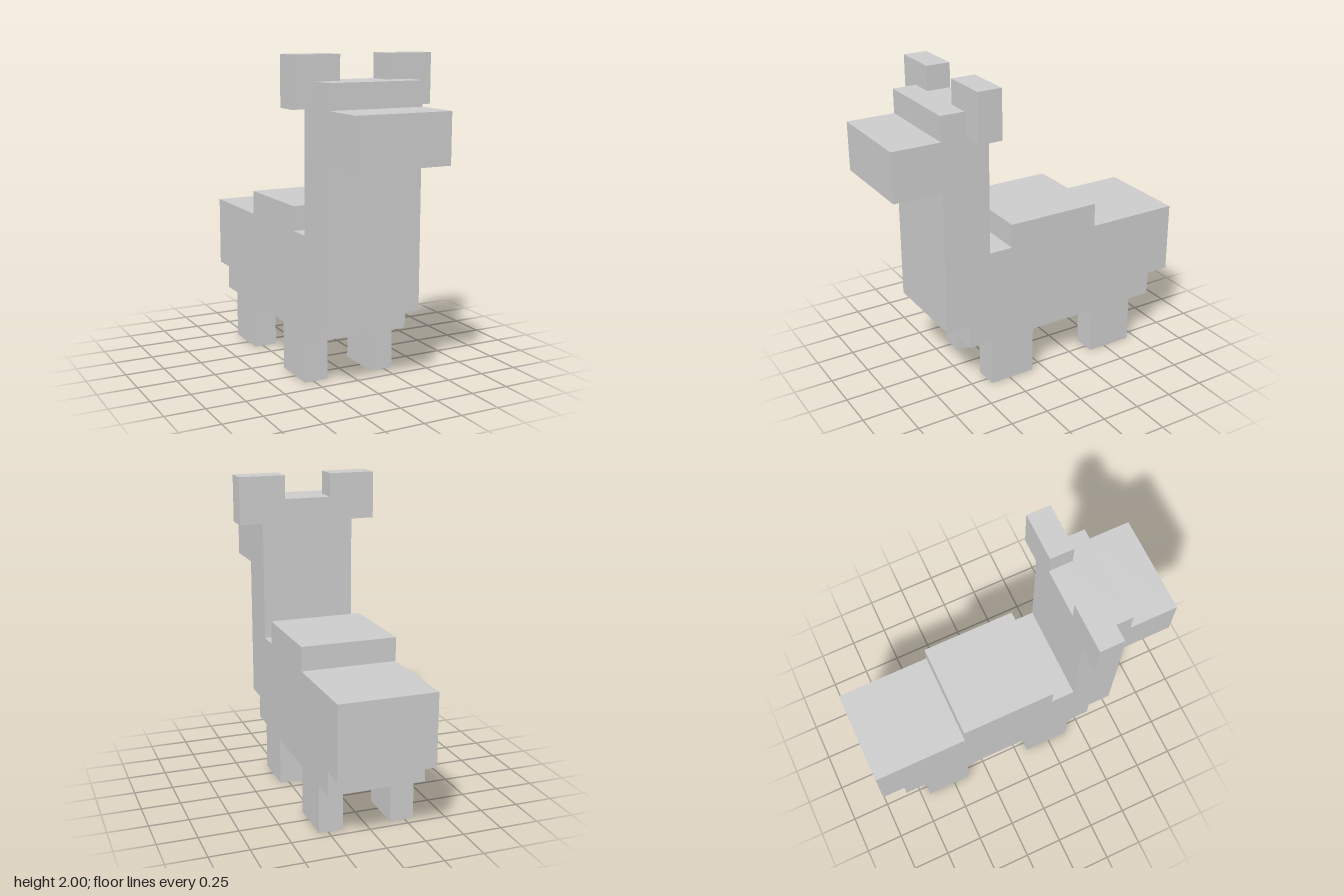
import * as THREE from 'three';

// One block of the grid the animal is built on
const U = 2 / 13;

function extrude(points, depth) {
  const shape = new THREE.Shape(points.map(([a, b]) => new THREE.Vector2(a * U, b * U)));
  return new THREE.ExtrudeGeometry(shape, { depth: depth * U, bevelEnabled: false });
}

export function createModel() {
  const model = new THREE.Group();
  model.name = 'llama';
  const material = new THREE.MeshStandardMaterial({ color: 0xcccccc, flatShading: true });

  function add(name, geometry) {
    const mesh = new THREE.Mesh(geometry, material);
    mesh.name = name;
    model.add(mesh);
    return mesh;
  }

  // Body, neck and head: one stepped side profile (z, y) across the full width
  const profile = [
    [-5.5, 2], [3.5, 2], [3.5, 3], [4.5, 3], // belly and chest
    [4.5, 9], [6.5, 9], [6.5, 11], [4.5, 11], // throat and muzzle
    [4.5, 12], [2.5, 12], [2.5, 6], // crown and nape
    [1.5, 6], [1.5, 7], [-2.5, 7], [-2.5, 6], // raised back
    [-6.5, 6], [-6.5, 3], [-5.5, 3], // rump
  ];
  const body = extrude(profile, 4);
  body.rotateY(-Math.PI / 2).translate(2 * U, 0, 0);
  add('bodyNeckAndHead', body);

  for (const [side, s] of [['left', 1], ['right', -1]]) {
    // Legs
    for (const [end, z] of [['Front', 1.5], ['Back', -3.5]]) {
      const leg = add(`${side}${end}Leg`, new THREE.BoxGeometry(U, 2 * U, 2 * U));
      leg.position.set(s * 1.5 * U, U, z * U);
    }

    // Ears, notched to sit over the corner of the head
    const ear = [[1, 12], [2, 12], [2, 11], [3, 11], [3, 13], [1, 13]];
    add(`${side}Ear`, extrude(ear.map(([x, y]) => [s * x, y]), 1)).position.z = 2.5 * U;
  }

  return model;
}
